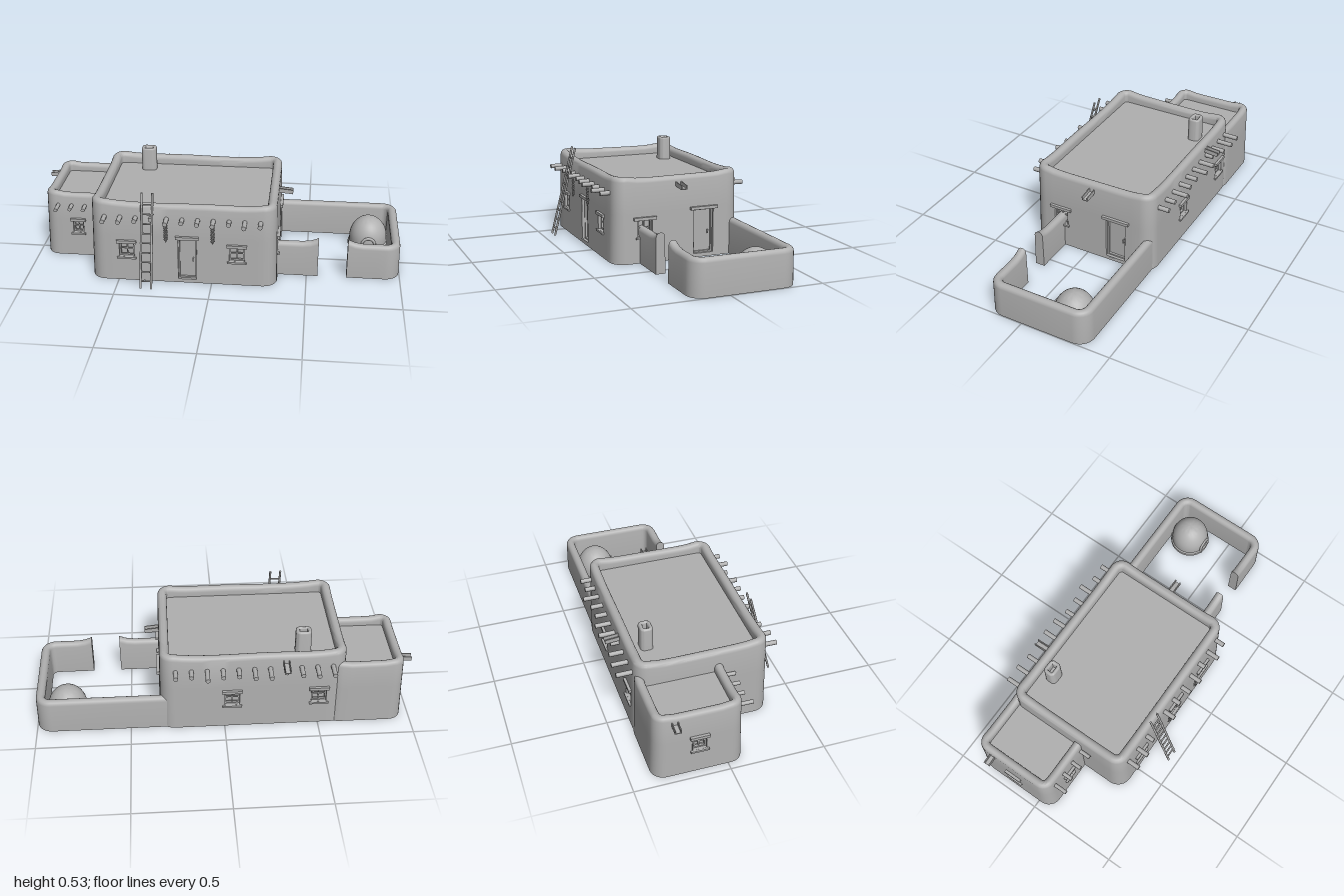
import * as THREE from 'three';
import { toCreasedNormals } from 'three/addons/utils/BufferGeometryUtils.js';

const adobe = new THREE.MeshStandardMaterial({ color: 0xb0b0b0, side: THREE.DoubleSide });
adobe.name = 'plain grey adobe';

function add(parent, name, geometry, x = 0, y = 0, z = 0) {
  const mesh = new THREE.Mesh(geometry, adobe);
  mesh.name = name;
  mesh.position.set(x, y, z);
  parent.add(mesh);
  return mesh;
}
const box = (parent, name, w, h, d, x, y, z) => add(parent, name, new THREE.BoxGeometry(w, h, d), x, y, z);

// Surface through columns of points; skip(i, j) leaves a hole
function sheet(columns, skip = () => false) {
  const pos = [];
  for (let i = 0; i < columns.length - 1; i++) {
    for (let j = 0; j < columns[0].length - 1; j++) {
      if (skip(i, j)) continue;
      const a = columns[i][j], b = columns[i + 1][j], c = columns[i + 1][j + 1], d = columns[i][j + 1];
      pos.push(...a, ...b, ...c, ...a, ...c, ...d);
    }
  }
  const g = new THREE.BufferGeometry();
  g.setAttribute('position', new THREE.Float32BufferAttribute(pos, 3));
  return toCreasedNormals(g, 0.7);
}

// Evenly spaced values from a to b, plus extra values in between
function steps(a, b, extra = []) {
  const n = Math.max(1, Math.ceil(Math.abs(b - a) / 0.05));
  const list = [...extra];
  for (let i = 0; i <= n; i++) list.push(a + ((b - a) * i) / n);
  return list.sort((p, q) => (b > a ? p - q : q - p));
}

// Rounded walls with a soft parapet, openings and a sunken roof.
// Sides: 0 front, 1 +x, 2 back, 3 -x
function walledBlock({ x0, x1, z0, z1, h, r, thick, roof, wave = 0, taper = 0.01, holes = [] }) {
  const cx = [x0 + r, x1 - r], cz = [z0 + r, z1 - r], stations = [];
  const ends = [[cx[0], cx[1]], [cz[1], cz[0]], [cx[1], cx[0]], [cz[0], cz[1]]];
  for (let side = 0; side < 4; side++) {
    const edges = holes.filter((o) => o.side === side).flatMap((o) => [o.t - o.w / 2, o.t + o.w / 2]);
    const fixed = [cz[1], cx[1], cz[0], cx[0]][side];
    const at = (t, a) => ({ x: side % 2 ? fixed : t, z: side % 2 ? t : fixed, a, side, t });
    for (const t of steps(...ends[side], edges)) stations.push(at(t, (side * Math.PI) / 2));
    for (let k = 1; k < 6; k++) stations.push(at(ends[side][1], ((side + k / 6) * Math.PI) / 2));
  }
  stations.push(stations[0]);

  const ys = [0, h - thick / 2, ...holes.flatMap((o) => [o.y0, o.y1])].sort((a, b) => a - b);
  const levels = ys.map((y) => [y, (taper * y) / h]);
  const R = thick / 2;
  for (let k = 1; k <= 8; k++) {
    const a = (k / 8) * Math.PI;
    levels.push([h - R + R * Math.sin(a), taper + R - R * Math.cos(a)]);
  }
  levels.push([roof, taper + thick]);

  const mx = (x0 + x1) / 2, mz = (z0 + z1) / 2;
  const columns = stations.map((s) => levels.map(([y, d], j) => {
    const ex = Math.abs(s.x - mx) / (cx[1] - mx), ez = Math.abs(s.z - mz) / (cz[1] - mz);
    const lift = wave * (0.011 * (ex * ez) ** 6 + 0.002 * Math.sin(11 * s.x + 7 * s.z));
    const raised = j >= ys.length - 1 && j < levels.length - 1;
    return [s.x + Math.sin(s.a) * (r - d), y + (raised ? lift : 0), s.z + Math.cos(s.a) * (r - d)];
  }));
  const walls = sheet(columns, (i, j) => {
    const s = stations[i], n = stations[i + 1];
    if (j >= ys.length - 1 || s.side !== n.side || s.a !== n.a) return false;
    const t = (s.t + n.t) / 2, y = (levels[j][0] + levels[j + 1][0]) / 2;
    return holes.some((o) => o.side === s.side && Math.abs(t - o.t) < o.w / 2 && y > o.y0 && y < o.y1);
  });

  const group = new THREE.Group();
  add(group, 'walls', walls);
  const e = 2 * (taper + thick);
  box(group, 'roof', x1 - x0 - e, 0.004, z1 - z0 - e, mx, roof, mz);
  for (const o of holes) {
    const unit = opening(o);
    const edge = [z1, x1, z0, x0][o.side] - [1, 1, -1, -1][o.side] * 0.004;
    unit.position.set(o.side % 2 ? edge : o.t, 0, o.side % 2 ? o.t : edge);
    unit.rotation.y = (o.side * Math.PI) / 2;
    group.add(unit);
  }
  return group;
}

// Door or window: reveal, panel, frame, lintel and sill
function opening({ w, y0, y1, door, lintel = w + 0.024 }) {
  const g = new THREE.Group(), h = y1 - y0, m = (y0 + y1) / 2, f = 0.009;
  g.name = door ? 'door' : 'window';
  for (const s of [-1, 1]) {
    box(g, 'reveal', 0.003, h, 0.045, s * w / 2, m, -0.021);
    box(g, 'reveal', w, 0.003, 0.045, 0, m + (s * h) / 2, -0.021);
    box(g, 'frame', f, h, 0.012, s * (w - f) / 2, m, -0.02);
    box(g, 'frame', w, f, 0.012, 0, m + (s * (h - f)) / 2, -0.02);
  }
  box(g, 'panel', w, h, 0.004, 0, m, -0.04 + (door ? 0.01 : 0));
  box(g, 'lintel', lintel, 0.016, 0.03, 0, y1 + 0.007, -0.002);
  if (door) {
    box(g, 'handle', 0.006, 0.02, 0.012, w * 0.3, m - 0.01, -0.024);
  } else {
    box(g, 'muntin', 0.006, h, 0.008, 0, m, -0.022);
    box(g, 'muntin', w, 0.006, 0.008, 0, m, -0.022);
    box(g, 'sill', w + 0.02, 0.01, 0.028, 0, y0 - 0.004, -0.002);
  }
  return g;
}

// Low yard wall along stations of corner centre and facing angle
function yardWall(parent, stations, r) {
  const half = 0.026, profile = [[half, 0]];
  for (let k = 0; k <= 8; k++) {
    const a = (k / 8) * Math.PI;
    profile.push([0.024 * Math.cos(a), -0.024 + 0.024 * Math.sin(a)]);
  }
  profile.push([-half, 0]);
  const column = (s, k) => profile.map(([o, y], j) => {
    const straight = s.a === 0 ? Math.max(0, 1 - Math.abs(s.x - s.gate) / 0.07) : 0;
    const py = j === 0 || j === profile.length - 1 ? 0 : 0.193 + 0.022 * straight ** 1.5 + y;
    return [s.x + Math.sin(s.a) * (r + o * k), py, s.z + Math.cos(s.a) * (r + o * k)];
  });
  const cols = stations.map((s) => column(s, 1));
  cols.unshift(column(stations[0], 0));
  cols.push(column(stations[stations.length - 1], 0));
  add(parent, 'yardWall', sheet(cols));
}

// U-shaped roof spout pointing along local +z
function spout(parent, x, y, z, angle, length = 0.1) {
  const g = new THREE.Group();
  g.name = 'roofSpout';
  box(g, 'spoutFloor', 0.03, 0.005, length, 0, -0.009, 0);
  for (const s of [-1, 1]) box(g, 'spoutSide', 0.005, 0.023, length, s * 0.0145, 0, 0);
  g.position.set(x, y, z);
  g.rotation.set(0.1, angle, 0, 'YXZ');
  parent.add(g);
}

function beam(parent, name, a, b, r, sides = 10) {
  const p = new THREE.Vector3(...a), q = new THREE.Vector3(...b), d = q.clone().sub(p);
  const m = add(parent, name, new THREE.CylinderGeometry(r, r, d.length(), sides));
  m.position.copy(p.add(q).multiplyScalar(0.5));
  m.quaternion.setFromUnitVectors(new THREE.Vector3(0, 1, 0), d.normalize());
}

export function createModel() {
  const model = new THREE.Group();
  model.name = 'adobeHouse';

  // Main house, side wing and chimney
  const win = (side, t, w = 0.082) => ({ side, t, w, y0: 0.138, y1: 0.222 });
  const house = walledBlock({
    x0: -0.65, x1: 0.345, z0: -0.383, z1: 0.337, h: 0.447, r: 0.078, thick: 0.05, roof: 0.395, wave: 1,
    holes: [win(0, -0.453), win(0, 0.133), { side: 0, t: -0.13, w: 0.1, y0: 0.018, y1: 0.258, door: true },
      { ...win(1, 0.165), y1: 0.23, lintel: 0.125 },
      { side: 1, t: -0.168, w: 0.115, y0: 0.018, y1: 0.26, door: true, lintel: 0.155 },
      win(2, -0.04), win(2, -0.5)],
  });
  house.name = 'mainHouse';
  const wing = walledBlock({
    x0: -0.957, x1: -0.55, z0: -0.387, z1: 0.087, h: 0.37, r: 0.07, thick: 0.045, roof: 0.325, wave: 0.8,
    holes: [{ ...win(0, -0.77, 0.06), y1: 0.21 }, { ...win(3, -0.15, 0.075), y1: 0.215 }],
  });
  wing.name = 'sideWing';
  const chimney = walledBlock({ x0: -0.463, x1: -0.375, z0: -0.296, z1: -0.224, h: 0.528, r: 0.026, thick: 0.02, roof: 0.47, taper: 0.003 });
  chimney.name = 'chimney';
  chimney.children[0].scale.y = 1;
  model.add(house, wing, chimney);

  // Roof beam ends
  const front = [0.395, 0.395, 0.375, 0.35, 0.395, 0.375, 0.385, 0.395, 0.368, 0.4, 0.382];
  const back = [0.458, 0.46, 0.45, 0.42, 0.46, 0.458, 0.437, 0.44, 0.46, 0.43, 0.435];
  front.forEach((z, i) => {
    const x = -0.565 + i * 0.082;
    beam(model, 'frontBeam', [x, 0.37, 0.25], [x, 0.368, z], 0.0125);
    beam(model, 'backBeam', [x, 0.37, -0.3], [x, 0.368, -back[i]], 0.0125);
  });
  [0.15, 0.132, 0.135, 0.14].forEach((z, i) => {
    const x = -0.877 + i * 0.074;
    beam(model, 'wingBeam', [x, 0.302, 0.02], [x, 0.3, z], 0.0105);
  });

  // Roof spouts
  spout(model, 0.36, 0.402, -0.025, Math.PI / 2);
  spout(model, -0.32, 0.402, -0.4, Math.PI);
  spout(model, -0.952, 0.335, -0.275, -Math.PI / 2, 0.095);

  // Ladder leaning on the front
  const foot = [0.018, 0.455], head = [0.513, 0.327];
  const at = (t, x) => [x, foot[0] + (head[0] - foot[0]) * t, foot[1] + (head[1] - foot[1]) * t];
  for (const x of [-0.363, -0.307]) beam(model, 'ladderRail', at(0, x), at(1, x), 0.006, 8);
  for (let i = 0; i < 9; i++) beam(model, 'ladderRung', at(0.08 + i * 0.1, -0.369), at(0.08 + i * 0.1, -0.301), 0.0045, 8);

  // Hanging strings of peppers
  const pod = new THREE.ConeGeometry(0.0045, 0.02, 6);
  for (const x of [-0.237, 0.009]) {
    const string = new THREE.Group();
    string.name = 'pepperString';
    string.position.set(x, 0, 0.365);
    beam(string, 'cord', [0, 0.25, 0], [0, 0.375, 0], 0.0015, 6);
    for (let i = 0; i < 30; i++) {
      const a = i * 2.4, p = add(string, 'pepper', pod, Math.sin(a) * 0.005, 0.345 - i * 0.003, Math.cos(a) * 0.005);
      p.rotation.set(Math.PI - Math.cos(a) * 0.5, 0, Math.sin(a) * 0.5);
    }
    model.add(string);
  }

  // Yard wall in two runs beside the gate gap
  const r = 0.055, cx = 0.917, zf = 0.17 - r, zb = -0.345 + r, run = [];
  for (const x of steps(0.715, cx, [0.73, 0.75])) run.push({ x, z: zf, a: 0, gate: 0.715 });
  for (let k = 1; k <= 8; k++) run.push({ x: cx, z: zf, a: (k / 16) * Math.PI });
  for (let k = 0; k <= 8; k++) run.push({ x: cx, z: zb, a: ((k + 8) / 16) * Math.PI });
  run.push({ x: 0.3, z: zb, a: Math.PI });
  yardWall(model, run, r);
  yardWall(model, steps(0.3, 0.56, [0.53, 0.545]).map((x) => ({ x, z: zf, a: 0, gate: 0.56 })), r);

  // Domed oven with an arched mouth
  const dome = [[0.112, 0], [0.112, 0.02], [0.105, 0.026]];
  for (let k = 0; k <= 12; k++) {
    const a = (k / 24) * Math.PI;
    dome.push([0.105 * Math.cos(a), 0.05 + 0.122 * Math.sin(a)]);
  }
  const oven = new THREE.LatheGeometry(dome.map(([x, y]) => new THREE.Vector2(Math.max(x, 0), y)), 32);
  add(model, 'oven', toCreasedNormals(oven, 0.7), 0.84, 0, -0.215);
  add(model, 'ovenMouth', new THREE.TorusGeometry(0.035, 0.008, 8, 16, Math.PI), 0.84, 0.045, -0.113);
  for (const s of [-1, 1]) beam(model, 'ovenJamb', [0.84 + s * 0.035, 0, -0.113], [0.84 + s * 0.035, 0.045, -0.113], 0.008, 8);
  return model;
}
